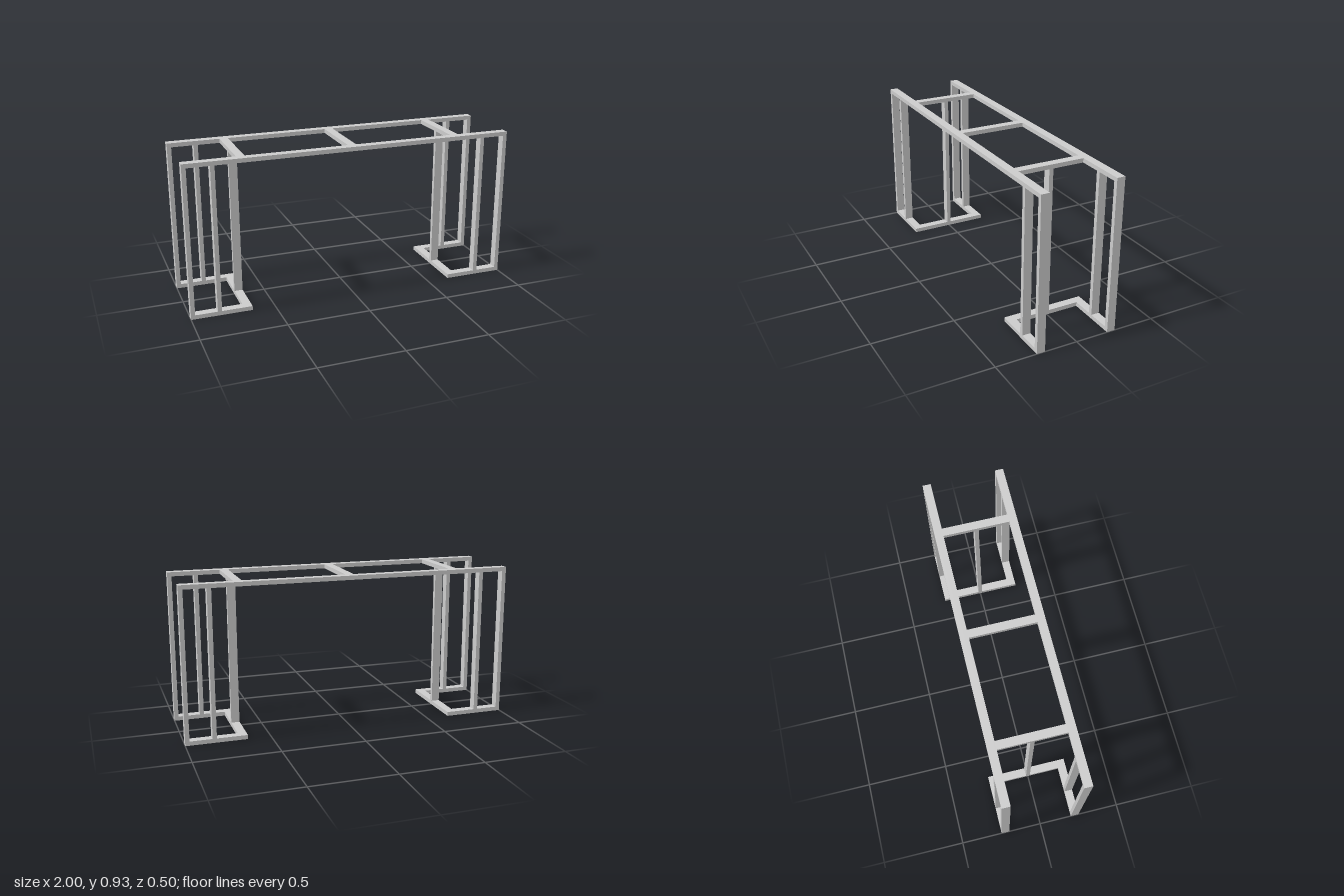
import * as THREE from 'three';

const W = 0.05;    // broad side of the bar
const T = 0.025;   // thin side of the bar
const H = 0.925;   // overall height
const Z = 0.225;   // rail centre depth
const BX = 0.6625; // end cross bar centre

export function createModel() {
  const group = new THREE.Group();
  const material = new THREE.MeshStandardMaterial({ color: 0xcccccc, flatShading: true });

  const bar = (name, w, h, d, x, y, z) => {
    const mesh = new THREE.Mesh(new THREE.BoxGeometry(w, h, d), material);
    mesh.name = name;
    mesh.position.set(x, y, z);
    group.add(mesh);
  };

  const innerH = H - 2 * T;
  const span = 2 * Z - W;
  const footStart = BX - W / 2;

  // Long rails, with posts and foot rails at each corner
  for (const z of [-Z, Z]) {
    bar('topRail', 2, T, W, 0, H - T / 2, z);
    for (const s of [-1, 1]) {
      bar('footRail', 1 - footStart, T, W, s * (1 + footStart) / 2, T / 2, z);
      bar('outerPost', T, innerH, W, s * (1 - T / 2), H / 2, z);
      bar('middlePost', T, innerH, W, s * 0.831, H / 2, z);
    }
  }

  // Cross bars joining the top rails
  for (const x of [-BX, 0, BX]) bar('topCrossBar', W, T, span, x, H - T / 2, 0);

  // Foot cross bars and the central post standing on each
  for (const s of [-1, 1]) {
    bar('footCrossBar', W, T, span, s * BX, T / 2, 0);
    bar('centrePost', W, innerH, T, s * BX, H / 2, 0);
  }

  return group;
}
